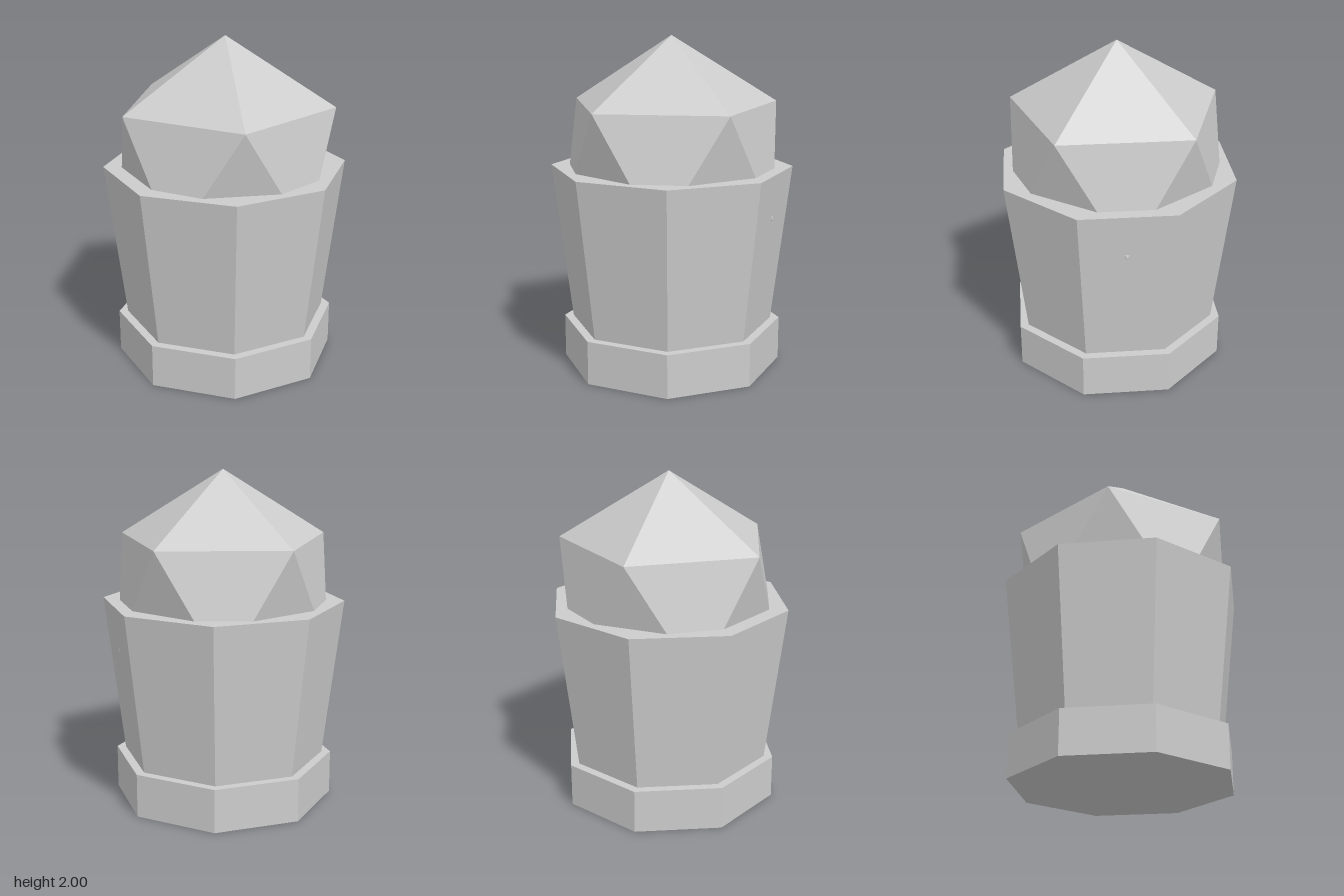
import * as THREE from 'three';

export function createModel() {
  const group = new THREE.Group();
  const stone = new THREE.MeshStandardMaterial({ color: 0xcccccc, flatShading: true });
  stone.name = 'paleGrey';

  const add = (name, geometry) => {
    const mesh = new THREE.Mesh(geometry, stone);
    mesh.name = name;
    group.add(mesh);
  };

  // Eight-sided prism with flats facing the axes, sized by its flat distances
  const octagon = (topFlat, bottomFlat, y0, y1) => {
    const k = 1 / Math.cos(Math.PI / 8);
    return new THREE.CylinderGeometry(topFlat * k, bottomFlat * k, y1 - y0, 8)
      .rotateY(Math.PI / 8)
      .translate(0, (y0 + y1) / 2, 0);
  };

  add('base', octagon(0.617, 0.617, 0, 0.263));
  add('body', octagon(0.674, 0.567, 0.263, 1.222));

  // Icosahedron stood on one vertex; its lower corners just pierce the body wall
  const radius = 0.7275;
  const golden = (1 + Math.sqrt(5)) / 2;
  add('crystalTop', new THREE.IcosahedronGeometry(radius, 0)
    .rotateZ(Math.atan(1 / golden))
    .translate(0, 2 - radius, 0));

  return group;
}
